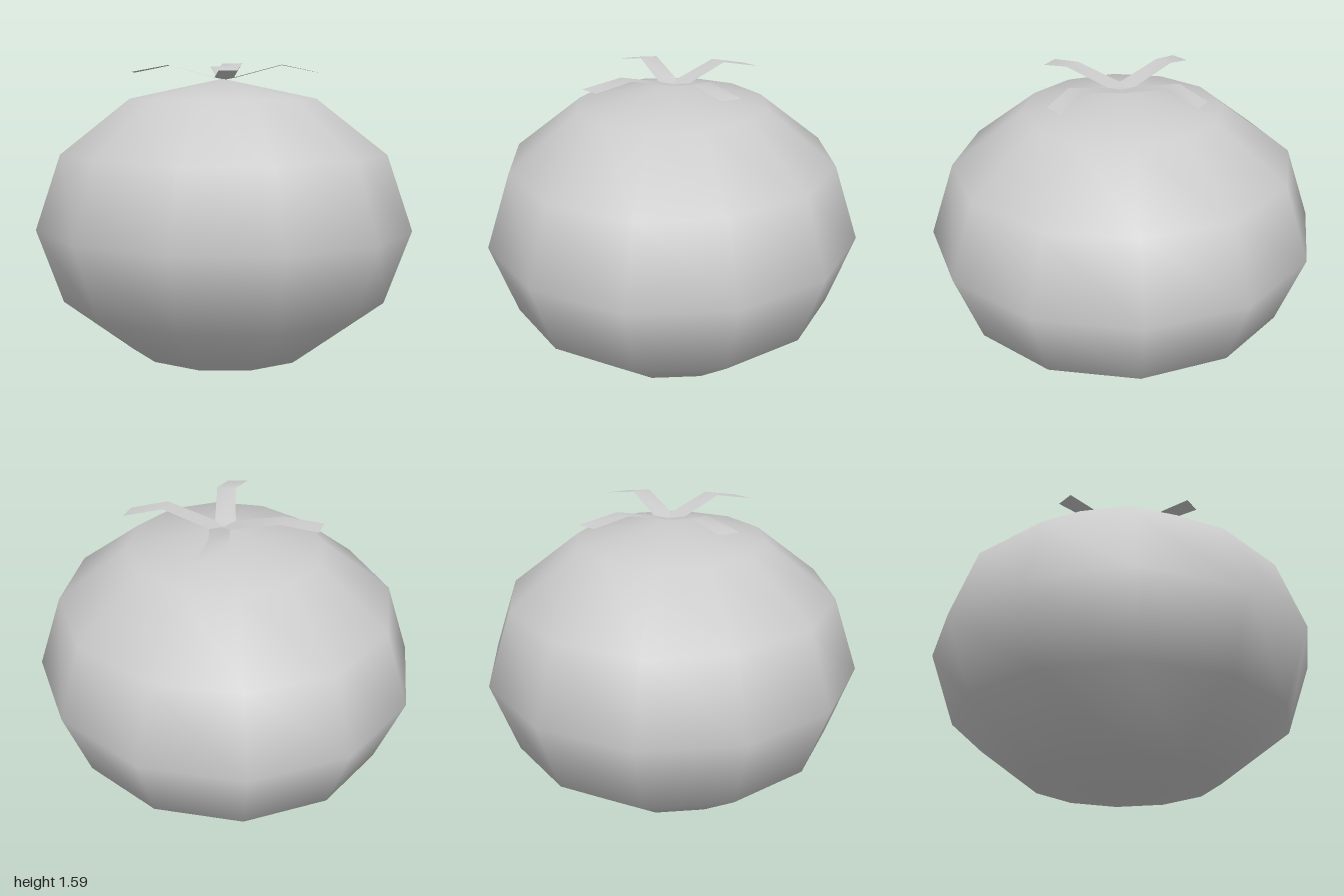
import * as THREE from 'three';

// Corners of one calyx leaf, root to tip, as [x, y, z] about the stem centre
const LEAF = [
  [0, 1.515, 0],
  [0.065, 1.526, 0], [0, 1.526, 0.078],
  [0.262, 1.59, 0.148], [0.2, 1.59, 0.218],
  [0.372, 1.553, 0.293], [0.312, 1.553, 0.378],
];
const LEAF_FACES = [[0, 2, 1], [1, 2, 4], [1, 4, 3], [3, 4, 6], [3, 6, 5]];

// A bent leaf strip mirrored into the quadrant given by the signs sx, sz
function leafGeometry(sx, sz) {
  const geometry = new THREE.BufferGeometry();
  const points = LEAF.flatMap(([x, y, z]) => [x * sx, y, z * sz]);
  geometry.setAttribute('position', new THREE.Float32BufferAttribute(points, 3));
  // Mirroring once turns the faces over, so swap two corners to keep them facing up
  geometry.setIndex(LEAF_FACES.flatMap(([a, b, c]) => (sx * sz > 0 ? [a, b, c] : [a, c, b])));
  geometry.computeVertexNormals();
  return geometry;
}

export function createModel() {
  const model = new THREE.Group();
  model.name = 'tomato';

  // Fruit: a coarse, smooth-shaded squashed sphere
  const bodyGeometry = new THREE.SphereGeometry(1, 12, 6);
  bodyGeometry.scale(1, 0.76, 0.965);
  const body = new THREE.Mesh(bodyGeometry, new THREE.MeshStandardMaterial({ color: 0xcccccc }));
  body.name = 'fruit';
  body.position.y = 0.76;
  model.add(body);

  // Calyx: four thin leaves in a cross
  const calyx = new THREE.Group();
  calyx.name = 'calyx';
  calyx.position.set(0.008, 0, -0.012);
  const leafMaterial = new THREE.MeshStandardMaterial({ color: 0xcccccc, side: THREE.DoubleSide });
  for (const sx of [-1, 1]) {
    for (const sz of [-1, 1]) {
      const leaf = new THREE.Mesh(leafGeometry(sx, sz), leafMaterial);
      leaf.name = `${sz > 0 ? 'front' : 'back'}${sx > 0 ? 'Left' : 'Right'}Leaf`;
      calyx.add(leaf);
    }
  }
  model.add(calyx);
  return model;
}
